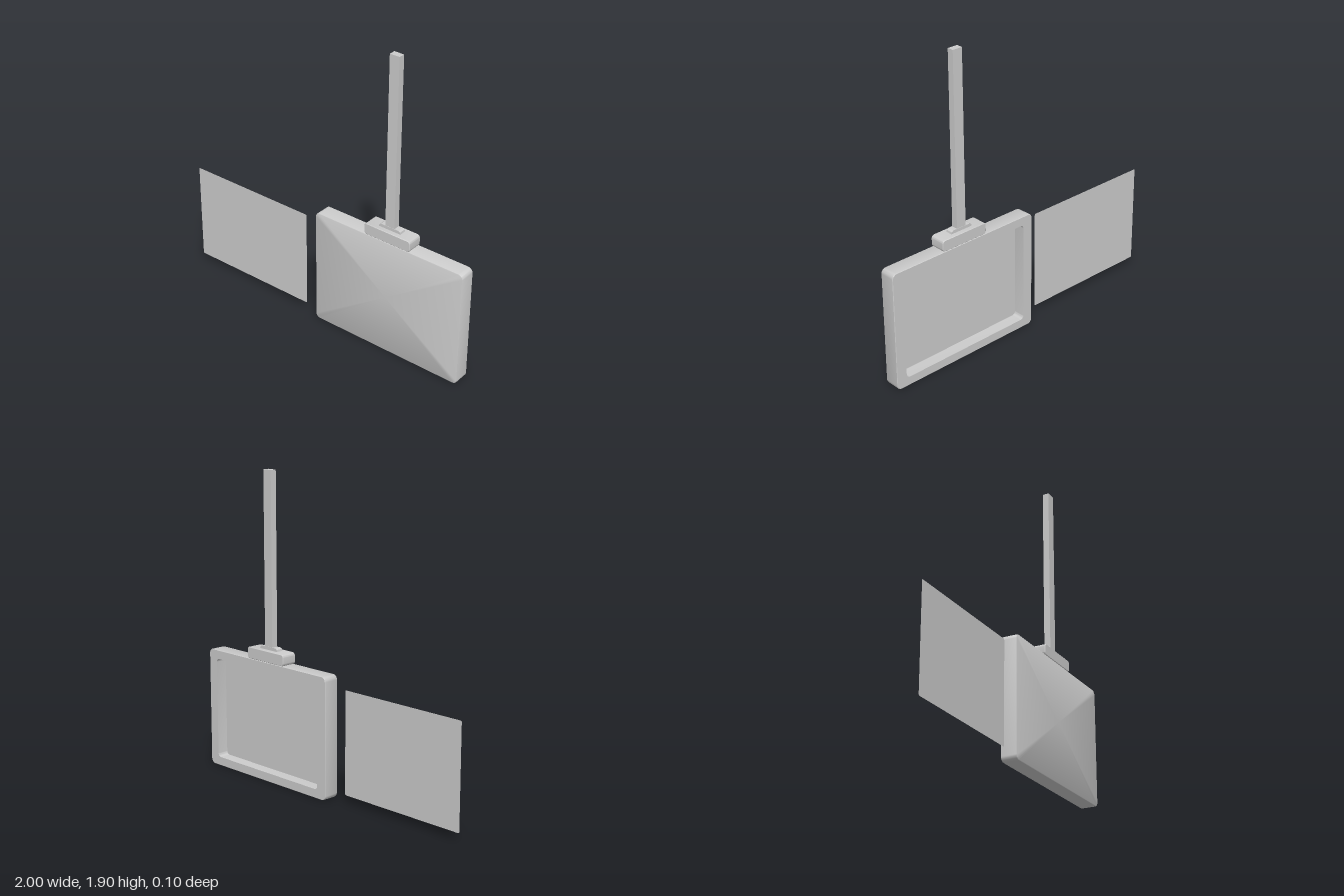
import * as THREE from 'three';
import { toCreasedNormals } from 'three/addons/utils/BufferGeometryUtils.js';

const material = new THREE.MeshStandardMaterial({ color: 0xcccccc });
const thinMaterial = new THREE.MeshStandardMaterial({ color: 0xcccccc, side: THREE.DoubleSide });

// Rounded rectangle outline, counter-clockwise seen from +z
function roundedLoop(w, h, r, steps = 6) {
  const points = [];
  const corners = [[1, 1], [-1, 1], [-1, -1], [1, -1]];
  corners.forEach(([sx, sy], c) => {
    for (let i = 0; i <= steps; i++) {
      const a = (c + i / steps) * Math.PI / 2;
      points.push([sx * (w / 2 - r) + r * Math.cos(a), sy * (h / 2 - r) + r * Math.sin(a)]);
    }
  });
  return points;
}

// Skin through rounded rectangles [width, height, radius, z], from the front face to the last face
function loft(sections) {
  const first = sections[0], last = sections[sections.length - 1];
  const all = [[0, 0, 0, first[3]], ...sections, [0, 0, 0, last[3]]];
  const positions = [], index = [];
  let n = 0;
  all.forEach(([w, h, r, z], k) => {
    const loop = roundedLoop(w, h, r);
    n = loop.length;
    loop.forEach(([x, y], i) => {
      positions.push(x, y, z);
      if (k === all.length - 1) return;
      const j = (i + 1) % n, a = k * n + i, d = k * n + j;
      if (k < all.length - 2) index.push(a, a + n, d + n);
      if (k > 0) index.push(a, d + n, d);
      if (k === all.length - 2) index.push(a, a + n, d + n);
    });
  });
  const geometry = new THREE.BufferGeometry();
  geometry.setAttribute('position', new THREE.Float32BufferAttribute(positions, 3));
  geometry.setIndex(index);
  return toCreasedNormals(geometry, 0.6);
}

export function createModel() {
  const group = new THREE.Group();
  const add = (name, geometry, x, y, z, mat = material) => {
    const mesh = new THREE.Mesh(geometry, mat);
    mesh.name = name;
    mesh.position.set(x, y, z);
    group.add(mesh);
  };

  // Display housing: softened front, straight sides, pocket open to the back
  add('housing', loft([
    [1.023, 0.738, 0.024, 0.05],
    [1.031, 0.746, 0.028, 0.048],
    [1.035, 0.75, 0.03, 0.044],
    [1.035, 0.75, 0.03, -0.047],
    [1.029, 0.744, 0.027, -0.05],
    [0.9, 0.64, 0.022, -0.05],
    [0.9, 0.64, 0.022, 0.022],
  ]), 0.4825, 0.375, 0);

  // Separate thin screen sheet beside the housing, level with the pocket floor
  const outline = roundedLoop(0.872, 0.635, 0.008).map(([x, y]) => new THREE.Vector2(x, y));
  add('screenSheet', new THREE.ShapeGeometry(new THREE.Shape(outline)), -0.564, 0.3625, 0.022, thinMaterial);

  // Rounded clamp on top of the housing
  add('clamp', loft([
    [0.312, 0.064, 0.014, 0.05],
    [0.32, 0.072, 0.018, 0.046],
    [0.32, 0.072, 0.018, -0.046],
    [0.312, 0.064, 0.014, -0.05],
  ]), 0.482, 0.785, 0);

  // Foot of the hanging pole, with sloped ends
  const foot = new THREE.Shape([[-0.075, 0], [0.075, 0], [0.072, 0.013], [0.06, 0.02], [-0.06, 0.02], [-0.072, 0.013]]
    .map(([x, y]) => new THREE.Vector2(x, y)));
  add('poleFoot', new THREE.ExtrudeGeometry(foot, { depth: 0.044, bevelEnabled: false }), 0.481, 0.82, -0.022);

  // Hanging pole
  add('pole', new THREE.BoxGeometry(0.064, 1.07, 0.04), 0.481, 1.367, 0);

  return group;
}
